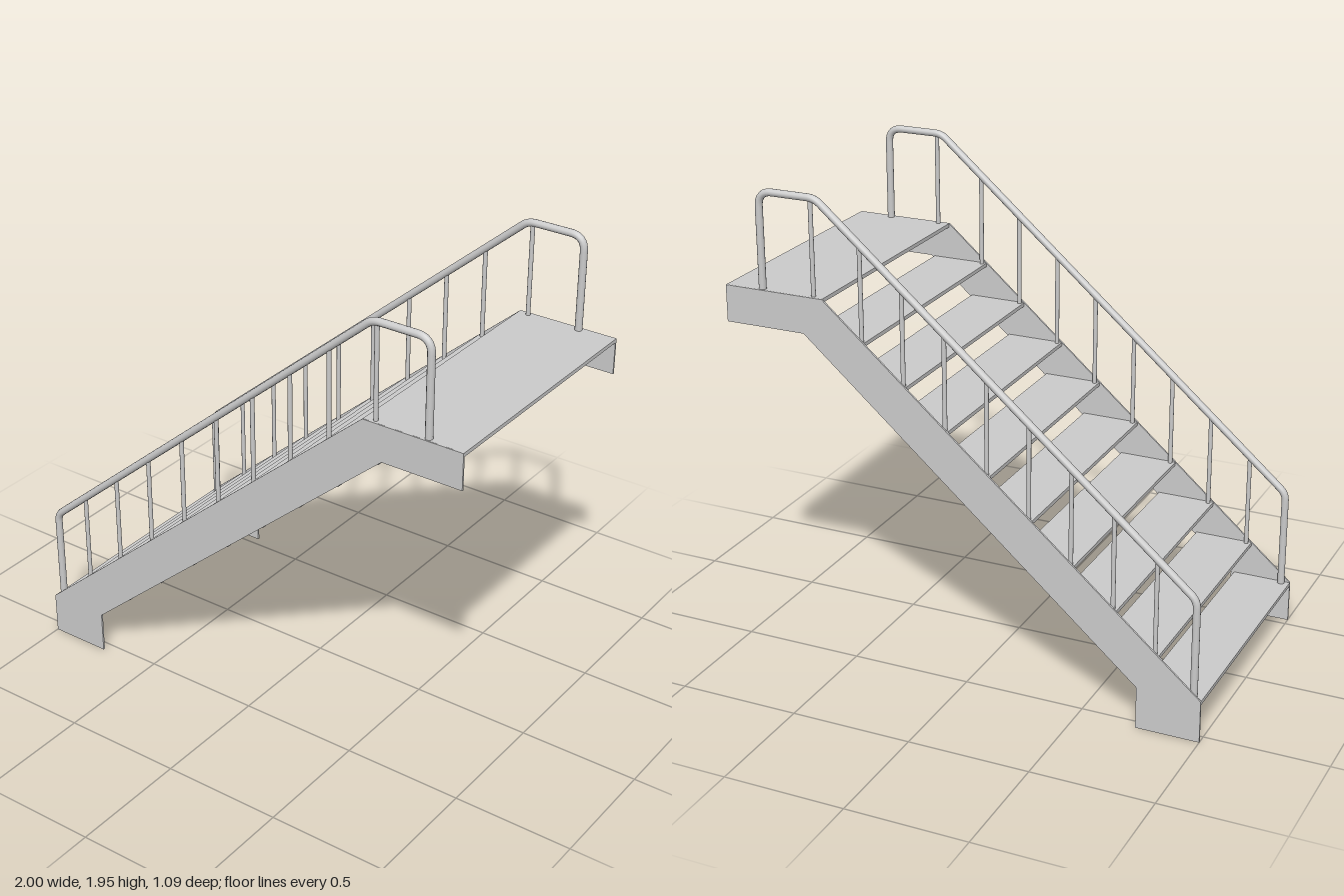
import * as THREE from 'three';

const STEPS = 10, RUN = 0.175, RISE = 0.1517, BASE = 0.175;
const WIDTH = 1.09, PLATE = 0.008, TREAD = 0.016, RAIL_Z = 0.525;

// Path in the XY plane with rounded corners; each point is [x, y, cornerSize]
function roundedPath(points) {
  const path = new THREE.CurvePath();
  const pts = points.map(([x, y]) => new THREE.Vector3(x, y, 0));
  let from = pts[0];
  for (let i = 1; i < pts.length - 1; i++) {
    const size = points[i][2];
    const a = pts[i].clone().add(pts[i - 1].clone().sub(pts[i]).setLength(size));
    const b = pts[i].clone().add(pts[i + 1].clone().sub(pts[i]).setLength(size));
    path.add(new THREE.LineCurve3(from, a));
    path.add(new THREE.QuadraticBezierCurve3(a, pts[i], b));
    from = b;
  }
  path.add(new THREE.LineCurve3(from, pts[pts.length - 1]));
  return path;
}

export function createModel() {
  const model = new THREE.Group();
  model.name = 'staircase';
  const material = new THREE.MeshStandardMaterial({ color: 0xcccccc });
  const add = (parent, name, geometry, x = 0, y = 0, z = 0) => {
    const mesh = new THREE.Mesh(geometry, material);
    mesh.name = name;
    mesh.position.set(x, y, z);
    parent.add(mesh);
    return mesh;
  };

  // Treads; the last one is the deep landing
  for (let i = 0; i < STEPS; i++) {
    const landing = i === STEPS - 1;
    const front = -1 + RUN * i;
    const depth = landing ? 1 - front : 0.245;
    add(model, landing ? 'landing' : 'tread',
      new THREE.BoxGeometry(depth, TREAD, WIDTH - PLATE),
      front + depth / 2, BASE + RISE * i - TREAD / 2, 0);
  }

  // Side plate outline with foot and landing end
  const outline = new THREE.Shape([
    [-1, 0], [-0.74, 0], [-0.74, 0.175], [0.66, 1.39],
    [1, 1.39], [1, 1.54], [0.575, 1.54], [-1, 0.175],
  ].map(([x, y]) => new THREE.Vector2(x, y)));
  const plate = new THREE.ExtrudeGeometry(outline, { depth: PLATE, bevelEnabled: false });
  plate.translate(0, 0, -PLATE / 2);

  // Handrail bends down into its end posts
  const railPath = roundedPath([
    [-0.965, BASE - 0.005], [-0.965, 0.583, 0.03], [0.6, 1.93, 0.03],
    [0.845, 1.93, 0.06], [0.845, 1.535],
  ]);
  const rail = new THREE.TubeGeometry(railPath, 240, 0.015, 12);
  const railHeight = (x) => Math.min(1.93, 0.583 + (x + 0.965) * 0.8607);

  for (const side of [1, -1]) {
    const group = new THREE.Group();
    group.name = side > 0 ? 'frontSide' : 'backSide';
    model.add(group);
    add(group, 'stringer', plate, 0, 0, side * (WIDTH - PLATE) / 2);
    add(group, 'handrail', rail, 0, 0, side * RAIL_Z);

    // One baluster per tread above the first
    for (let i = 1; i < STEPS; i++) {
      const x = i === STEPS - 1 ? 0.62 : -0.98 + RUN * i - 0.0005 * i;
      const bottom = BASE + RISE * i - 0.005;
      const height = railHeight(x) - bottom;
      add(group, 'baluster', new THREE.CylinderGeometry(0.009, 0.009, height, 12),
        x, bottom + height / 2, side * RAIL_Z);
    }
  }
  return model;
}
